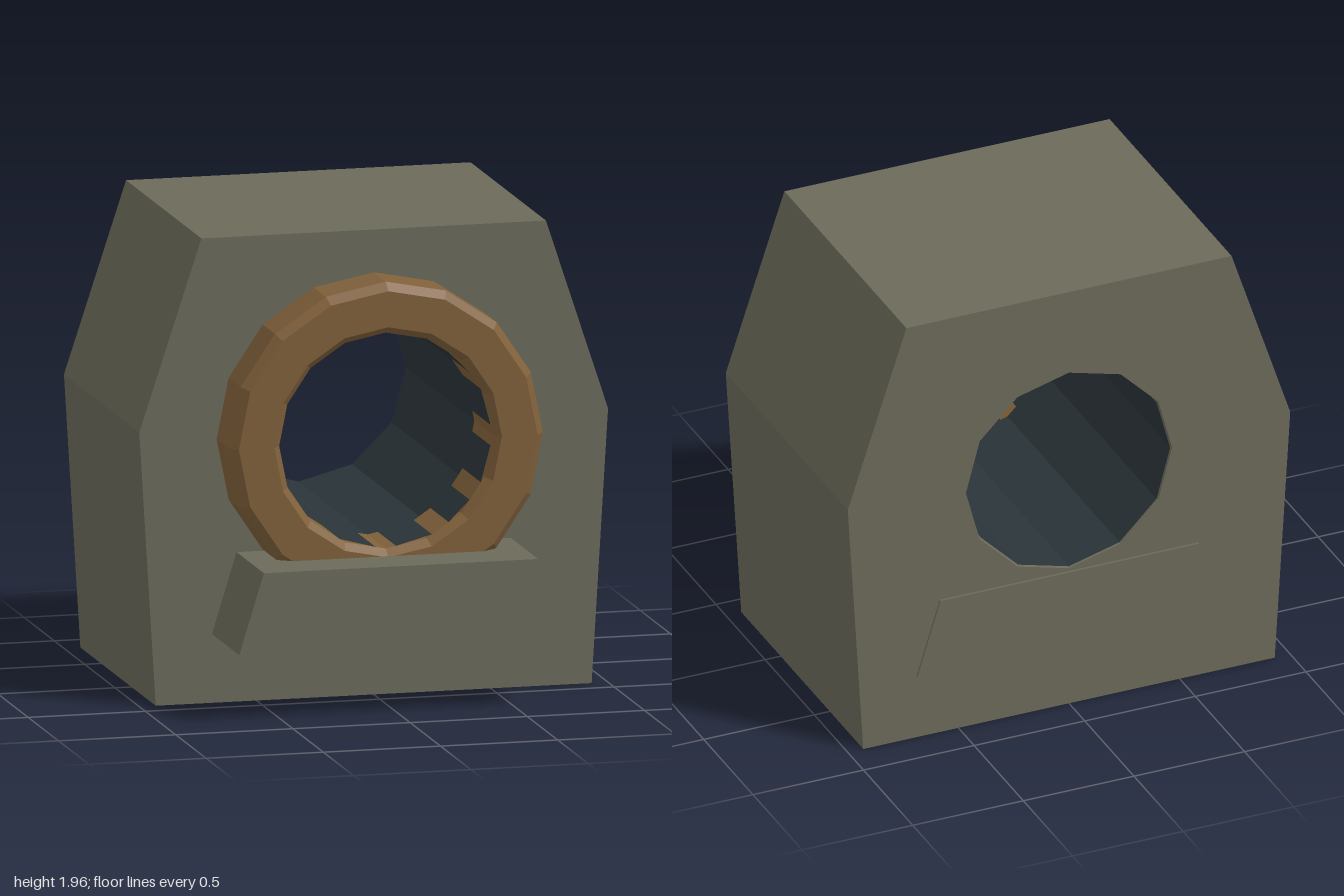
import * as THREE from 'three';

const BORE_Y = 1.11;

export function createModel() {
  const model = new THREE.Group();
  const material = (color) => new THREE.MeshStandardMaterial({ color, flatShading: true });
  const stone = material(0x6b6a5a);
  const copper = material(0x80603a);
  const dark = material(0x2a3438);

  const add = (name, geometry, mat) => {
    const mesh = new THREE.Mesh(geometry, mat);
    mesh.name = name;
    model.add(mesh);
    return mesh;
  };

  // Outline mirrored about x = 0 from its right half, listed bottom to top
  const mirrored = (half) => new THREE.Shape([
    ...half.map(([x, y]) => new THREE.Vector2(x, y)),
    ...half.map(([x, y]) => new THREE.Vector2(-x, y)).reverse(),
  ]);
  const extrude = (shape, back, front) =>
    new THREE.ExtrudeGeometry(shape, { depth: front - back, bevelEnabled: false }).translate(0, 0, back);

  // Turned part around the bore axis; profile is [radius, z]
  const turned = (profile, sides) =>
    new THREE.LatheGeometry(profile.map(([r, z]) => new THREE.Vector2(r, z)), sides)
      .rotateX(Math.PI / 2).translate(0, BORE_Y, 0);

  // Housing with a twelve-sided hole straight through
  const body = mirrored([[0.93, 0], [1, 1.155], [0.735, 1.96]]);
  const hole = [];
  for (let i = 0; i < 12; i++) {
    const a = -i * Math.PI / 6;
    hole.push(new THREE.Vector2(0.466 * Math.cos(a), BORE_Y + 0.466 * Math.sin(a)));
  }
  body.holes.push(new THREE.Path(hole));
  add('housing', extrude(body, -0.84, 0.4), stone);

  // Sill running through the housing, below the bore
  add('sill', extrude(mirrored([[0.69, 0.29], [0.585, 0.63]]), -0.85, 0.85), stone);

  // Dark lining, seen from inside only
  add('boreLining', turned([[0.458, 0.6], [0.458, -0.838]], 12), dark);

  // Chamfered collar around the mouth
  add('collar', turned([
    [0.455, 0.3], [0.67, 0.3], [0.67, 0.6], [0.637, 0.64],
    [0.485, 0.64], [0.455, 0.6], [0.455, 0.3],
  ], 16), copper);

  return model;
}
